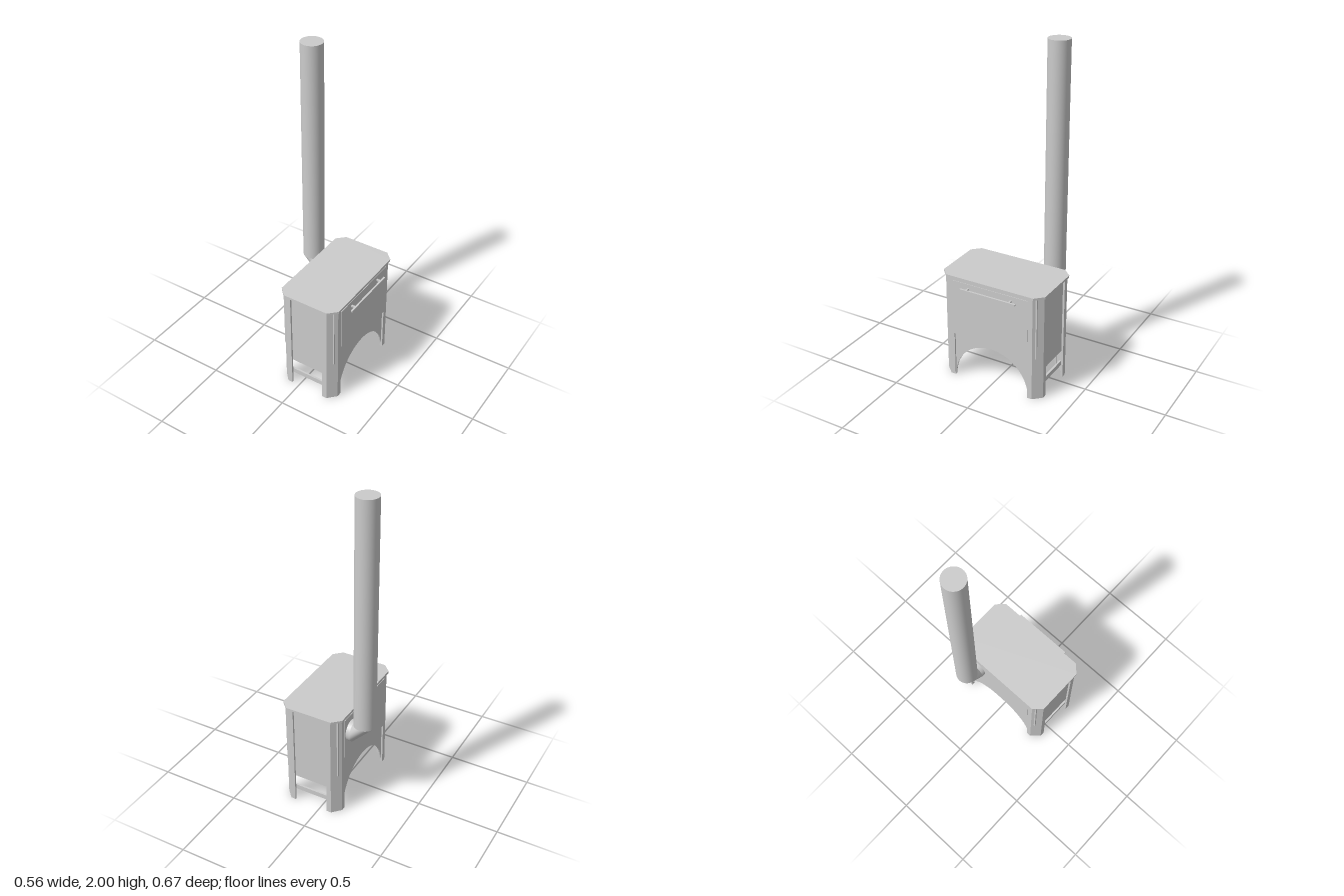
import * as THREE from 'three';

const CX = 0.06, HX = 0.185, HZ = 0.325; // body centre and half sizes
const TOP = 0.66;

export function createModel() {
  const stove = new THREE.Group();
  stove.name = 'stove';
  const mat = new THREE.MeshStandardMaterial({ color: 0xcccccc, side: THREE.DoubleSide });

  const add = (name, geo) => {
    const mesh = new THREE.Mesh(geo, mat);
    mesh.name = name;
    stove.add(mesh);
    return mesh;
  };
  // box given by its minimum and maximum corners
  const box = (name, x0, x1, y0, y1, z0, z1) => {
    const geo = new THREE.BoxGeometry(x1 - x0, y1 - y0, z1 - z0);
    geo.translate((x0 + x1) / 2, (y0 + y1) / 2, (z0 + z1) / 2);
    return add(name, geo);
  };
  // upright prism from [x, z] outline points
  const prism = (name, pts, y0, y1) => {
    const shape = new THREE.Shape(pts.map(([x, z]) => new THREE.Vector2(x, -z)));
    const geo = new THREE.ExtrudeGeometry(shape, { depth: y1 - y0, bevelEnabled: false });
    geo.rotateX(-Math.PI / 2);
    geo.translate(0, y0, 0);
    return add(name, geo);
  };

  // top plate with cut corners
  const px = 0.194, pz = 0.333, c = 0.049;
  prism('topPlate', [
    [px, pz - c], [px - c, pz], [c - px, pz], [-px, pz - c],
    [-px, c - pz], [c - px, -pz], [px - c, -pz], [px, c - pz],
  ].map(([x, z]) => [x + CX, z]), TOP - 0.002, 0.671);

  // four folded sheet legs running the full height
  const t = 0.012;
  const fold = [
    [HX - 0.077, HZ], [HX - 0.047, HZ], [HX, HZ - 0.05], [HX, HZ - 0.08],
    [HX - t, HZ - 0.08], [HX - t, HZ - 0.055], [HX - 0.052, HZ - t], [HX - 0.077, HZ - t],
  ];
  for (const sx of [-1, 1]) for (const sz of [-1, 1]) {
    prism('cornerLeg', fold.map(([x, z]) => [CX + sx * x, sz * z]), 0, TOP);
  }

  // firebox core
  box('firebox', CX - HX + t, CX + HX - t, 0.27, TOP, -0.297, 0.297);

  // recessed end panels and lower rails
  for (const s of [-1, 1]) {
    const z0 = Math.min(s * 0.295, s * 0.307), z1 = Math.max(s * 0.295, s * 0.307);
    box('endPanel', CX - 0.125, CX + 0.125, 0.17, TOP, z0, z1);
    box('endRail', CX - 0.12, CX + 0.12, 0.07, 0.10, z0, z1);
  }

  // long sides: sheet, raised door and recessed arch panel
  const arch = new THREE.Shape();
  arch.moveTo(-0.25, 0);
  arch.lineTo(-0.244, 0);
  arch.absarc(0, 0, 0.244, Math.PI, 0, true);
  arch.lineTo(0.25, 0);
  arch.lineTo(0.25, 0.29);
  arch.lineTo(-0.25, 0.29);
  const archGeo = new THREE.ExtrudeGeometry(arch, { depth: 0.008, bevelEnabled: false, curveSegments: 40 });
  archGeo.translate(0, 0, -0.004);
  archGeo.rotateY(Math.PI / 2);
  for (const s of [-1, 1]) {
    const slab = (name, a, b, y0, y1, z) =>
      box(name, CX + Math.min(s * a, s * b), CX + Math.max(s * a, s * b), y0, y1, -z, z);
    slab('sideSheet', HX - t, HX, 0.285, TOP, 0.246);
    slab('sideDoor', HX - 0.002, HX + 0.003, 0.38, 0.64, 0.245);
    add('archPanel', archGeo).position.x = CX + s * (HX - 0.014);
  }

  // door handle on two posts
  box('handleBar', 0.27, 0.281, 0.605, 0.616, -0.182, 0.182);
  for (const z of [-0.14, 0.14]) box('handlePost', 0.24, 0.271, 0.605, 0.616, z - 0.005, z + 0.005);

  // flue pipe
  const R = 0.065, fx = -0.217, fz = -0.172, seg = 48, bendY = 0.6;
  const pipe = new THREE.CylinderGeometry(R, R, 2 - bendY, seg);
  pipe.translate(fx, (2 + bendY) / 2, fz);
  add('fluePipe', pipe);

  // elbow: one straight mitre turning about the inner corner
  const elbow = new THREE.CylinderGeometry(R, R, 1, seg, 1, true);
  const p = elbow.attributes.position;
  for (let i = 0; i < p.count; i++) {
    const d = R - p.getX(i), z = fz + p.getZ(i);
    if (p.getY(i) > 0) p.setXYZ(i, fx + R - d, bendY, z);
    else p.setXYZ(i, fx + R, bendY - d, z);
  }
  elbow.computeVertexNormals();
  add('flueElbow', elbow);

  // short inlet into the body
  const inlet = new THREE.CylinderGeometry(R, R, 0.04, seg);
  inlet.rotateZ(Math.PI / 2);
  inlet.translate(fx + R + 0.02, bendY - R, fz);
  add('flueInlet', inlet);

  return stove;
}
